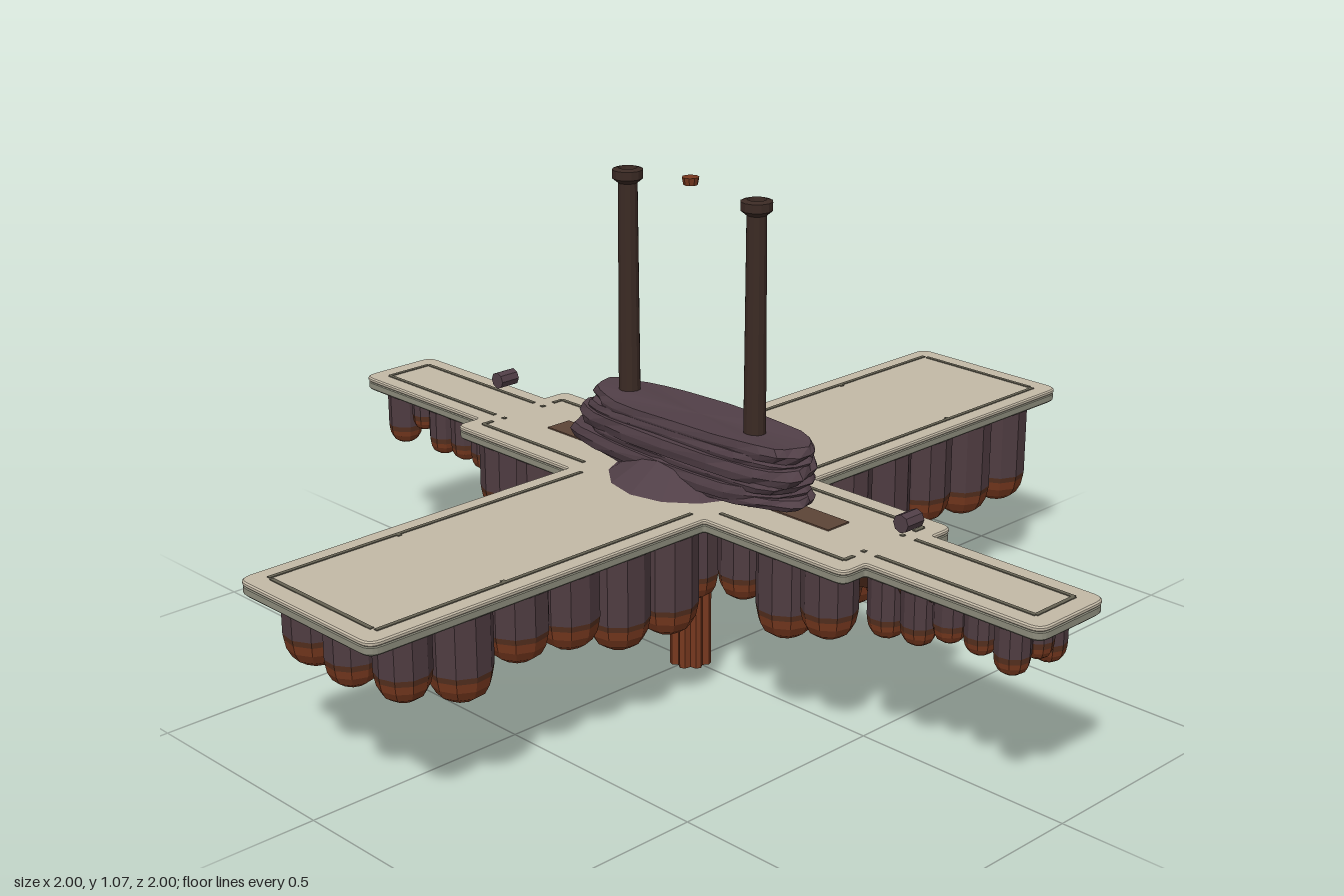
import * as THREE from 'three';
import { mergeGeometries } from 'three/addons/utils/BufferGeometryUtils.js';

export function createModel() {
  const model = new THREE.Group();
  const mat = (name, color) => {
    const m = new THREE.MeshStandardMaterial({ color, flatShading: true });
    m.name = name;
    return m;
  };
  const stone = mat('pale stone', 0xc3b9a6);
  const edgeStone = mat('grey green stone', 0x8e8d7d);
  const groove = mat('dark groove', 0x666253);
  const rock = mat('purple rock', 0x513f47);
  const shaftRock = mat('warm purple rock', 0x4f3c41);
  const darkRust = mat('dark rust', 0x56301f);
  const plank = mat('brown plank', 0x5c4436);
  const rust = mat('rust', 0x78391f);
  const iron = mat('dark iron', 0x3b2a24);

  const add = (name, geometry, material, x = 0, y = 0, z = 0) => {
    const m = new THREE.Mesh(geometry, material);
    m.name = name;
    m.position.set(x, y, z);
    model.add(m);
  };
  let seed = 7;
  const rand = () => (seed = (seed * 16807) % 2147483647) / 2147483647;

  // Cross-shaped platform outline: x, y, corner radius
  const quarter = [[1, 0.1, 0.03], [0.58, 0.1, 0.006], [0.58, 0.163, 0.025], [0.205, 0.163, 0.006], [0.205, 1, 0.03]];
  const flip = (pts, sx, sy) => pts.map(([x, y, r]) => [x * sx, y * sy, r]);
  const back = [...quarter].reverse();
  const outline = [...quarter, ...flip(back, -1, 1), ...flip(quarter, -1, -1), ...flip(back, 1, -1)];
  const cross = new THREE.Shape();
  outline.forEach(([x, y, r], i) => {
    const n = outline.length;
    const c = new THREE.Vector2(x, y);
    const toward = ([px, py]) => new THREE.Vector2(px, py).sub(c).setLength(r).add(c);
    const a = toward(outline[(i + n - 1) % n]), b = toward(outline[(i + 1) % n]);
    if (i) cross.lineTo(a.x, a.y); else cross.moveTo(a.x, a.y);
    cross.quadraticCurveTo(c.x, c.y, b.x, b.y);
  });
  cross.closePath();
  const slab = (depth, bevel, inset) => new THREE.ExtrudeGeometry(cross, {
    depth, curveSegments: 5, bevelEnabled: true, bevelSegments: 1,
    bevelThickness: bevel, bevelSize: bevel, bevelOffset: -bevel - inset,
  }).rotateX(-Math.PI / 2);
  add('platformTop', slab(0.005, 0.003, 0), stone, 0, 0.426, 0);
  add('platformUnderside', slab(0.013, 0.004, 0.001), edgeStone, 0, 0.408, 0);

  // Grooves inlaid around each arm
  const strips = [];
  const strip = (x0, x1, z0, z1) => {
    for (const sx of [1, -1]) for (const sz of [1, -1]) {
      strips.push(new THREE.BoxGeometry(Math.max(x1 - x0, 0.009), 0.003, Math.max(z1 - z0, 0.009))
        .translate(sx * (x0 + x1) / 2, 0.4345, sz * (z0 + z1) / 2));
    }
  };
  strip(0.165, 0.165, 0.16, 0.955);
  strip(0, 0.155, 0.955, 0.955);
  strip(0.205, 0.54, 0.117, 0.117);
  strip(0.54, 0.54, 0.09, 0.117);
  strip(0.538, 0.538, 0.055, 0.06);
  strip(0.57, 0.955, 0.058, 0.058);
  strip(0.955, 0.955, 0, 0.058);
  strip(0.155, 0.165, 0.65, 0.65);
  add('platformGrooves', mergeGeometries(strips), groove);

  // Hanging columns: purple shaft, dark rust band, rounded rust tip
  const shafts = [], bands = [], tips = [];
  const column = (x, z, r, bottom) => {
    const dome = r * 0.85, y1 = bottom + dome, y2 = y1 + 0.012, top = 0.41;
    const spin = rand() * 0.6;
    const place = (g) => g.rotateY(spin).translate(x, 0, z);
    shafts.push(place(new THREE.CylinderGeometry(r, r, top - y2, 10, 1, true).translate(0, (top + y2) / 2, 0)));
    bands.push(place(new THREE.CylinderGeometry(r, r * 0.97, y2 - y1, 10, 1, true).translate(0, (y1 + y2) / 2, 0)));
    const profile = [[0, 0], [0.45, 0.06], [0.75, 0.3], [0.91, 0.65], [0.97, 1]];
    tips.push(place(new THREE.LatheGeometry(profile.map(([a, b]) => new THREE.Vector2(a * r, bottom + b * dome)), 10)));
  };
  // Long arms: z and tip height
  const longRow = [[0.875, 0.26], [0.74, 0.215], [0.6, 0.25], [0.47, 0.235], [0.335, 0.19], [0.2, 0.18],
    [-0.2, 0.19], [-0.33, 0.25], [-0.46, 0.18], [-0.6, 0.2], [-0.74, 0.18], [-0.87, 0.18]];
  for (const [z, b] of longRow) {
    column(0.135, z, z > 0.8 ? 0.056 : 0.065, b);
    column(-0.135, z, 0.065, 0.18 + rand() * 0.07);
  }
  column(0, 0.89, 0.055, 0.25);
  column(0, -0.89, 0.055, 0.22);
  // Side arms: x, radius, tip height
  const sideRow = [[-0.905, 0.039, 0.285], [-0.83, 0.029, 0.335], [-0.758, 0.036, 0.295], [-0.68, 0.035, 0.3],
    [-0.605, 0.038, 0.295], [-0.485, 0.062, 0.235], [-0.365, 0.062, 0.225], [-0.25, 0.055, 0.255],
    [0.25, 0.053, 0.26], [0.37, 0.063, 0.215], [0.485, 0.058, 0.25], [0.6, 0.04, 0.275], [0.68, 0.037, 0.285],
    [0.755, 0.034, 0.315], [0.83, 0.033, 0.315], [0.905, 0.036, 0.3]];
  for (const [x, r, b] of sideRow) {
    const z = Math.abs(x) > 0.55 ? 0.055 : 0.095;
    column(x, z, r, b);
    column(x, -z, r, b + (rand() - 0.4) * 0.03);
  }
  for (const s of [1, -1]) {
    column(0.08, s * 0.07, 0.055, 0.2);
    column(-0.08, s * 0.07, 0.055, 0.22);
    column(s * 0.31, 0, 0.045, 0.25);
    column(s * 0.43, 0, 0.045, 0.27);
    column(s * 0.92, 0, 0.032, 0.32);
  }
  add('hangingColumnShafts', mergeGeometries(shafts), shaftRock);
  add('hangingColumnBands', mergeGeometries(bands), darkRust);
  add('hangingColumnTips', mergeGeometries(tips), rust);

  // Tapering keels beneath the arms, meeting at a central boss
  const keel = (length, width, depth) => new THREE.CylinderGeometry(1, 0.12, depth, 4)
    .rotateY(Math.PI / 4).scale(width * Math.SQRT1_2, 1, length * Math.SQRT1_2);
  add('longKeel', keel(1.7, 0.22, 0.15), darkRust, 0, 0.335, 0);
  add('sideKeel', keel(0.16, 1.7, 0.13), darkRust, 0, 0.345, 0);
  add('centralBoss', new THREE.CylinderGeometry(0.18, 0.06, 0.17, 12), rust, 0, 0.325, 0);

  // Fluted stem
  const stem = new THREE.Shape();
  for (let i = 0; i < 24; i++) {
    const a = i * Math.PI / 12, r = i % 3 ? 0.046 : 0.036;
    stem[i ? 'lineTo' : 'moveTo'](Math.cos(a) * r, Math.sin(a) * r);
  }
  stem.closePath();
  add('stem', new THREE.ExtrudeGeometry(stem, { depth: 0.3, bevelEnabled: false }).rotateX(-Math.PI / 2), rust);

  // Mound and plinth on the platform
  add('mound', new THREE.CylinderGeometry(0.06, 0.175, 0.075, 14), rock, 0, 0.4715, 0);
  add('plinth', new THREE.BoxGeometry(0.44, 0.03, 0.1), darkRust, 0, 0.448, 0);
  for (const s of [1, -1]) add('inlaidPlank', new THREE.BoxGeometry(0.16, 0.004, 0.062), plank, s * 0.34, 0.435, 0);

  // Ragged strata: left end, right end, half width, bottom, top
  const strata = [[-0.3, 0.34, 0.092, 0.445, 0.468], [-0.342, 0.315, 0.1, 0.455, 0.488],
    [-0.3, 0.335, 0.092, 0.482, 0.508], [-0.31, 0.34, 0.1, 0.5, 0.535],
    [-0.29, 0.325, 0.087, 0.528, 0.554], [-0.278, 0.335, 0.083, 0.545, 0.577]];
  const layers = strata.map(([x0, x1, b, y0, y1], k) => {
    const g = new THREE.CylinderGeometry(1, 1, 1, 26, 2);
    const p = g.attributes.position;
    const square = (v, e) => Math.sign(v) * Math.abs(v) ** e;
    for (let i = 0; i < p.count; i++) {
      const x = p.getX(i), y = p.getY(i), z = p.getZ(i), t = Math.atan2(z, x);
      const wobble = 0.99 + 0.025 * Math.sin(t * 5 + k * 2.1) + 0.02 * Math.sin(t * 9 + k * 4 + y * 3);
      const f = Math.min(wobble, 1.01) * (Math.abs(y) < 0.1 ? 1 : 0.96);
      p.setXYZ(i, (x0 + x1) / 2 + square(x, 0.65) * f * (x1 - x0) / 2,
        (y0 + y1) / 2 + y * (y1 - y0) + 0.003 * Math.sin(t * 3 + k), square(z, 0.75) * b * f);
    }
    return g;
  });
  add('rockStrata', mergeGeometries(layers), rock);

  // Twin posts with flared caps
  const post = [[0, 0.55], [0.024, 0.55], [0.021, 1.03], [0.033, 1.04], [0.033, 1.058], [0.02, 1.062], [0.018, 1.05], [0, 1.05]];
  for (const s of [1, -1]) {
    add('post', new THREE.LatheGeometry(post.map(([r, y]) => new THREE.Vector2(r, y)), 12), iron, s * 0.186, 0, 0);
    // Small floating stones above the side arms
    const block = new THREE.CylinderGeometry(0.019, 0.019, 0.048, 8).rotateY(Math.PI / 8).rotateX(Math.PI / 2);
    add('floatingStone', block.rotateZ(Math.PI / 8), rock, s * 0.6, 0.5, 0);
  }
  add('floatingDisc', new THREE.CylinderGeometry(0.018, 0.015, 0.016, 10), rust, 0, 1.066, 0);

  return model;
}
